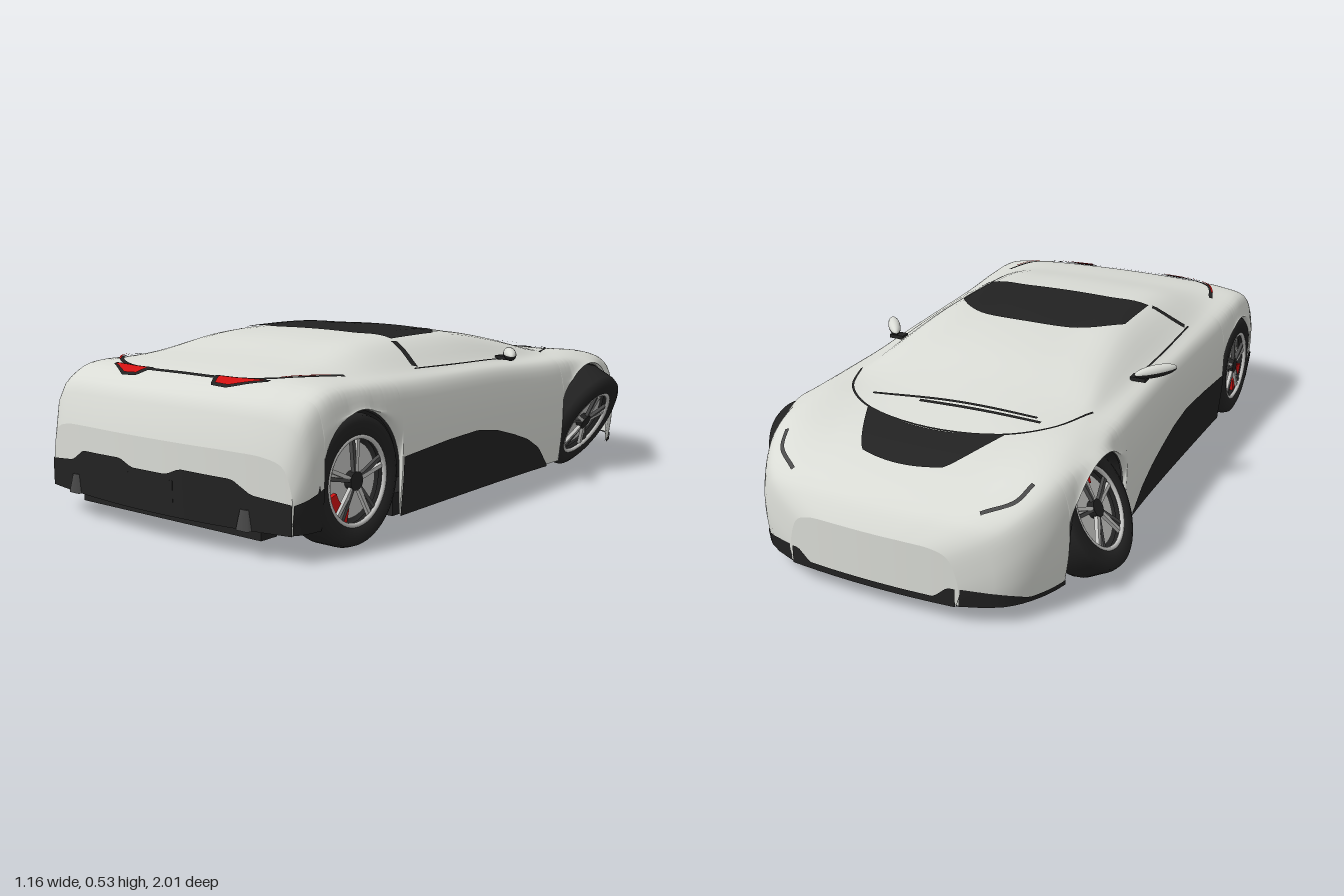
import * as THREE from 'three';

const mat = (name, color) => {
  const m = new THREE.MeshStandardMaterial({ color, side: THREE.DoubleSide });
  m.name = name;
  return m;
};
const lerp = THREE.MathUtils.lerp, smooth = THREE.MathUtils.smoothstep;

// Body stations: z, half width, shoulder y, belt x, belt y, roof edge x, roof edge y, centre y
const KEYS = [
  [-1, .27, .205, .2, .225, .1, .23, .23], [-.97, .37, .255, .3, .275, .17, .28, .28],
  [-.9, .437, .305, .37, .322, .22, .328, .33], [-.76, .487, .36, .41, .383, .25, .38, .38],
  [-.6, .505, .39, .41, .412, .28, .412, .412], [-.4, .505, .395, .41, .416, .36, .43, .455],
  [-.2, .5, .4, .415, .425, .335, .475, .5], [0, .5, .41, .42, .435, .31, .51, .523],
  [.2, .503, .415, .425, .44, .3, .519, .53], [.45, .508, .42, .42, .45, .3, .511, .522],
  [.65, .513, .432, .41, .455, .31, .478, .488], [.82, .512, .435, .39, .455, .3, .459, .463],
  [.9, .51, .415, .4, .433, .3, .438, .44], [.97, .5, .36, .4, .38, .3, .385, .39],
  [1, .48, .26, .4, .28, .3, .287, .29],
];
const WHEELS = [{ z: -.57, r: .185 }, { z: .717, r: .19 }];
const AXLE_Y = .19;

// Smooth interpolation between the stations
function keyAt(z) {
  let i = 0;
  while (i < KEYS.length - 2 && z > KEYS[i + 1][0]) i++;
  const a = KEYS[i], b = KEYS[i + 1], p = KEYS[Math.max(i - 1, 0)], n = KEYS[Math.min(i + 2, KEYS.length - 1)];
  const h = b[0] - a[0], t = (z - a[0]) / h;
  return a.map((v, k) => {
    const m0 = (b[k] - p[k]) / (b[0] - p[0]) * h, m1 = (n[k] - v) / (n[0] - a[0]) * h;
    return (2 * t ** 3 - 3 * t * t + 1) * v + (t ** 3 - 2 * t * t + t) * m0 + (3 * t * t - 2 * t ** 3) * b[k] + (t ** 3 - t * t) * m1;
  });
}

// Lower edge of the body, lifted over the wheels
function bottom(z) {
  for (const a of WHEELS) {
    const d = Math.abs(z - a.z);
    if (d <= a.r) return AXLE_Y + Math.sqrt(a.r * a.r - d * d);
  }
  return z < -.7 ? .07 : z > .8 ? .087 : .06;
}

// Nose and tail are bowed when seen from above
const bow = (x, z) => z - .05 * (x / .48) ** 2 * smooth(z, .6, 1) + .03 * (x / .4) ** 2 * smooth(-z, .75, 1);

const N = 64;
function section(z) {
  const [, w, ys, xb, yb, xr, yr, yc] = keyAt(z), b = bottom(z), h = Math.max(ys - .06 - b, .005);
  const half = [[w - .012, b], [w, b + h * .45], [w - .003, b + h * .95], [w - .028, ys], [xb, yb], [xr, yr], [xr * .5, lerp(yr, yc, .75)]];
  const all = [...half, [0, yc], ...half.slice().reverse().map(([x, y]) => [-x, y])];
  return new THREE.CatmullRomCurve3(all.map(([x, y]) => new THREE.Vector3(x, y, 0))).getPoints(N);
}

// Point of the body seen from above
function onTop(x, z, lift = .004) {
  const s = section(z), ax = Math.abs(x);
  let i = N / 2;
  while (i > 1 && s[i - 1].x < ax) i--;
  const t = Math.min(1, (ax - s[i].x) / (s[i - 1].x - s[i].x || 1));
  return [x, lerp(s[i].y, s[i - 1].y, t) + lift, bow(x, z)];
}

// Point of the body seen from the side
function onSide(y, z, side, lift = .004) {
  const s = section(z);
  let i = 0;
  while (i < N / 2 - 1 && s[i + 1].y < y) i++;
  const t = THREE.MathUtils.clamp((y - s[i].y) / (s[i + 1].y - s[i].y || 1), 0, 1);
  const x = lerp(s[i].x, s[i + 1].x, t);
  return [side * (x + lift), y, bow(x, z)];
}

// Grid surface from a function of u and v
function patch(f, nu, nv) {
  const pos = [], idx = [];
  for (let i = 0; i <= nu; i++) for (let j = 0; j <= nv; j++) {
    pos.push(...f(i / nu, j / nv));
    if (i < nu && j < nv) {
      const a = i * (nv + 1) + j, b = a + nv + 1;
      idx.push(a, a + 1, b, b, a + 1, b + 1);
    }
  }
  const g = new THREE.BufferGeometry();
  g.setAttribute('position', new THREE.Float32BufferAttribute(pos, 3));
  g.setIndex(idx);
  g.computeVertexNormals();
  return g;
}

// Straight-line lookup in a list of [position, value]
function table(list, x) {
  let i = 0;
  while (i < list.length - 2 && x > list[i + 1][0]) i++;
  const [a, b] = [list[i], list[i + 1]];
  return lerp(a[1], b[1], THREE.MathUtils.clamp((x - a[0]) / (b[0] - a[0]), 0, 1));
}

export function createModel() {
  const paint = mat('body paint', 0xd9dbd5), black = mat('black trim', 0x222222), red = mat('red', 0xd01212);
  const silver = mat('silver', 0xc4c4c2), grey = mat('dark grey', 0x4a4a4a);
  const car = new THREE.Group();
  car.name = 'car';
  const add = (name, geo, m, parent = car) => {
    const mesh = new THREE.Mesh(geo, m);
    mesh.name = name;
    parent.add(mesh);
    return mesh;
  };

  // Body shell, with extra stations around the arches
  const zs = [];
  for (let i = 0; i <= 80; i++) zs.push(-1 + i / 40);
  for (const a of WHEELS) {
    for (let i = 0; i <= 28; i++) zs.push(a.z - a.r * .9999 * Math.cos(i / 28 * Math.PI));
    zs.push(a.z - a.r - .001, a.z + a.r + .001);
  }
  zs.sort((a, b) => a - b);
  const rows = zs.map(section);
  add('bodyShell', patch((u, v) => {
    const i = Math.round(u * (zs.length - 1)), p = rows[i][Math.round(v * N)];
    return [p.x, p.y, bow(p.x, zs[i])];
  }, zs.length - 1, N), paint);
  for (const [name, z] of [['nosePanel', -1], ['tailPanel', 1]]) {
    const s = section(z);
    add(name, patch((u, v) => {
      const p = s[Math.round(u * N)];
      return [p.x, lerp(p.y, bottom(z), v), bow(p.x, z)];
    }, N, 6), paint);
  }

  // Underbody: narrow core full length, wide floor between the wheels
  const slab = (name, pts, width) => {
    const g = new THREE.ExtrudeGeometry(new THREE.Shape(pts.map(p => new THREE.Vector2(...p))), { depth: width, bevelEnabled: false });
    g.translate(0, 0, -width / 2).rotateY(-Math.PI / 2);
    add(name, g, black);
  };
  slab('underbodyCore', [[-.9, .075], [-.4, .055], [.9, .055], [.94, .09], [.92, .25], [.6, .36], [-.6, .36], [-.92, .2]], .72);
  slab('floor', [[-.375, .1], [-.3, .055], [.54, .055], [.54, .12]], .97);
  slab('noseFloor', [[-.95, .08], [-.765, .08], [-.765, .11], [-.95, .11]], .66);
  slab('tailFloor', [[.91, .09], [.945, .09], [.945, .12], [.91, .12]], .95);

  // Black hood vent, roof panel and wipers
  add('hoodVent', patch((u, v) => {
    const k = u * 2 - 1;
    return onTop(k * lerp(.13, .23, v ** .8), lerp(-.83 + .02 * k * k, -.67 + .045 * k * k, v));
  }, 24, 12), black);
  add('roofPanel', patch((u, v) => {
    const k = u * 2 - 1;
    return onTop(k * .3, lerp(-.03 + .1 * k ** 4 + .02 * k * k, .305, v), .005);
  }, 24, 16), black);
  const ribbon = (name, pts, width, m = black, lift = .004) => {
    const c = new THREE.CatmullRomCurve3(pts.map(([x, z]) => new THREE.Vector3(x, 0, z)));
    return add(name, patch((u, v) => {
      const p = c.getPoint(u), t = c.getTangent(u), o = (v - .5) * width;
      return onTop(p.x - t.z * o, p.z + t.x * o, lift);
    }, 32, 2), m);
  };
  ribbon('wiper', [[-.3, -.545], [-.1, -.55], [.09, -.56]], .012, black, .012);
  ribbon('wiper', [[-.28, -.525], [0, -.535], [.25, -.565]], .01, black, .012);
  ribbon('windshieldSeam', [[-.4, -.4], [-.34, -.54], [-.23, -.625], [0, -.665], [.23, -.625], [.34, -.54], [.4, -.4]], .007);
  ribbon('tailStrip', [[-.41, .66], [-.36, .79], [-.25, .858], [0, .87], [.25, .858], [.36, .79], [.41, .66]], .014);

  // Tail: black diffuser, recess and fins
  const tailEdge = [[0, .2], [.07, .2], [.12, .22], [.3, .215], [.36, .18], [.5, .165]];
  add('diffuser', patch((u, v) => {
    const x = lerp(-.481, .481, u);
    return [x, lerp(.085, table(tailEdge, Math.abs(x)), v), bow(x, 1) + .004];
  }, 60, 2), black);
  add('tailSkirt', new THREE.BoxGeometry(.72, .04, .06), black).position.set(0, .07, .91);
  add('plateRecess', new THREE.BoxGeometry(.19, .06, .006), black).position.set(0, .155, 1);
  add('noseLip', patch((u, v) => {
    const x = lerp(-.262, .262, u);
    return [x, lerp(.065, table([[0, .085], [.2, .085], [.24, .12], [.3, .12]], Math.abs(x)), v), bow(x, -1) - .004];
  }, 40, 2), black);

  const sill = [[-.3, .062], [-.235, .13], [-.16, .17], [-.07, .2], [.03, .228], [.14, .244], [.3, .24], [.525, .226]];
  for (const s of [1, -1]) {
    // Lower side trim
    add('sillPanel', patch((u, v) => {
      const z = lerp(-.3, .525, u);
      return onSide(lerp(.055, table(sill, z), v), z, s);
    }, 48, 6), black);
    add('diffuserCorner', patch((u, v) => {
      const z = lerp(.91, 1, u);
      return onSide(lerp(.085, lerp(.2, .165, u), v), z, s);
    }, 8, 4), black);
    add('noseLipCorner', patch((u, v) => {
      const z = lerp(-1, -.76, u);
      return onSide(lerp(.065, lerp(.12, .08, Math.min(1, u * 2.5)), v), z, s);
    }, 12, 3), black);
    add('fin', new THREE.CylinderGeometry(.018, .03, .055, 4, 1).rotateY(Math.PI / 4), grey).position.set(s * .34, .112, .97);

    // Tail lamps
    add('tailLampSurround', patch((u, v) => {
      const x = lerp(.125, .31, u), d = table([[.125, .008], [.15, .05], [.21, .055], [.31, .012]], x);
      return onTop(s * x, lerp(.862, .862 + d, v) - .06 * Math.max(0, x - .2), .005);
    }, 20, 3), black);
    add('tailLamp', patch((u, v) => {
      const x = lerp(.145, .295, u), d = table([[.145, .006], [.16, .034], [.21, .038], [.295, .006]], x);
      return onTop(s * x, lerp(.87, .87 + d, v) - .06 * Math.max(0, x - .2), .008);
    }, 20, 3), red);
    ribbon('sideTailLamp', [[s * .325, .832], [s * .37, .78], [s * .4, .71]], .007, red, .008);

    // Door pillar, belt seam and headlamp slit
    ribbon('doorPillar', [[s * .312, .31], [s * .36, .322], [s * .418, .345]], .022);
    ribbon('beltSeam', [[s * .423, -.1], [s * .428, .1], [s * .427, .36]], .005);
    ribbon('headlamp', [[s * .4, -.8], [s * .375, -.87], [s * .3, -.925]], .012, grey);

    // Door mirror: painted upper half, black lower half
    const mirror = new THREE.Group();
    mirror.name = 'mirror';
    for (const [name, start, m] of [['mirrorCap', 0, paint], ['mirrorBase', Math.PI / 2, black]])
      add(name, new THREE.SphereGeometry(1, 20, 8, 0, Math.PI * 2, start, Math.PI / 2).scale(.078, .02, .02), m, mirror);
    mirror.position.set(s * .475, .452, -.085);
    mirror.rotation.y = -s * .93;
    car.add(mirror);
    add('mirrorStalk', new THREE.BoxGeometry(.05, .012, .035), black).position.set(s * .435, .435, -.12);

    for (const [i, a] of WHEELS.entries()) {
      // Arch liner
      const liner = add('archLiner', new THREE.CylinderGeometry(a.r - .001, a.r - .001, .135, 32, 1, true, 0, Math.PI), black);
      liner.rotation.z = Math.PI / 2;
      liner.position.set(s * .422, AXLE_Y, a.z);

      // Wheel built along +x, turned round for the other side
      const wheel = new THREE.Group();
      wheel.name = i ? 'rearWheel' : 'frontWheel';
      const profile = [[.125, -.058], [.16, -.06], [.176, -.053], [.182, -.035], [.182, .035], [.176, .053], [.16, .06], [.125, .058], [.12, .03]];
      add('tyre', new THREE.LatheGeometry(profile.map(p => new THREE.Vector2(...p)), 48).rotateZ(-Math.PI / 2), black, wheel);
      const turned = (r, d) => new THREE.CylinderGeometry(r, r, d, 40).rotateZ(-Math.PI / 2);
      add('brakeDisc', turned(.105, .02), silver, wheel).position.x = .02;
      add('rimBack', turned(.122, .02), grey, wheel).position.x = -.02;
      add('rimRing', new THREE.TorusGeometry(.12, .007, 8, 40).rotateY(Math.PI / 2), silver, wheel).position.x = .052;
      add('hub', turned(.026, .035), black, wheel).position.x = .035;
      for (let k = 0; k < 5; k++) for (const o of [-.1, .1]) {
        const spoke = new THREE.BoxGeometry(.012, .1, .011).translate(.045, .07, 0).rotateX(k * Math.PI * .4 + o);
        add('spoke', spoke, o < 0 ? silver : grey, wheel);
      }
      // Rear calipers sit low behind the axle, one front caliper sits high
      if (i || s < 0) {
        const arc = new THREE.Shape();
        arc.absarc(0, 0, .118, -.5, .5, false).absarc(0, 0, .075, .5, -.5, true);
        const g = new THREE.ExtrudeGeometry(arc, { depth: .03, bevelEnabled: false, curveSegments: 12 });
        const angle = i ? (s > 0 ? 3.95 : -.8) : 1.57;
        add('brakeCaliper', g.rotateZ(angle).rotateY(Math.PI / 2).translate(.012, 0, 0), red, wheel);
      }
      wheel.rotation.y = s > 0 ? 0 : Math.PI;
      const axle = new THREE.Group();
      axle.name = i ? 'rearAxleEnd' : 'frontAxleEnd';
      axle.add(wheel);
      axle.position.set(s * .448, AXLE_Y, a.z);
      if (!i) axle.rotation.z = -.49;
      car.add(axle);
    }
  }
  return car;
}
